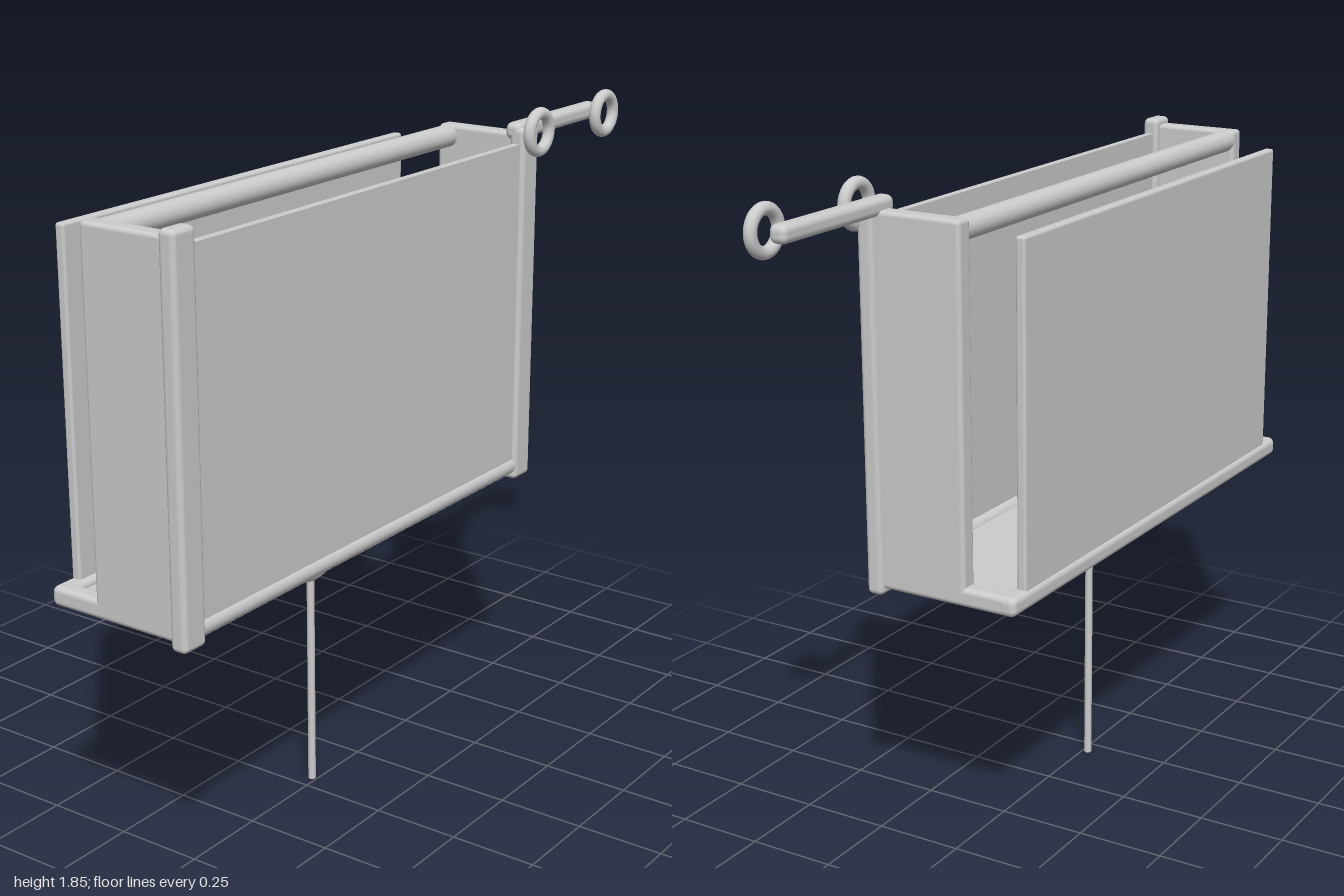
import * as THREE from 'three';
import { RoundedBoxGeometry } from 'three/addons/geometries/RoundedBoxGeometry.js';

export function createModel() {
  const group = new THREE.Group();
  const grey = new THREE.MeshStandardMaterial({ color: 0xcccccc });
  grey.name = 'light grey';

  function add(name, geometry, x = 0, y = 0, z = 0) {
    const mesh = new THREE.Mesh(geometry, grey);
    mesh.name = name;
    mesh.position.set(x, y, z);
    group.add(mesh);
    return mesh;
  }

  // Box given by its limits on each axis, with softened edges when r > 0
  function block(name, [x0, x1], [y0, y1], [z0, z1], r = 0) {
    const size = [x1 - x0, y1 - y0, z1 - z0];
    const geometry = r
      ? new RoundedBoxGeometry(...size, 3, r)
      : new THREE.BoxGeometry(...size);
    return add(name, geometry, (x0 + x1) / 2, (y0 + y1) / 2, (z0 + z1) / 2);
  }

  // Round bar lying along x
  function bar(name, x0, x1, y, z, r) {
    const geometry = new THREE.CylinderGeometry(r, r, x1 - x0, 24).rotateZ(Math.PI / 2);
    return add(name, geometry, (x0 + x1) / 2, y, z);
  }

  const middle = -0.203; // the case is off-centre because of the arm

  // Floor tray with rounded rails
  block('floor', [-0.97, 0.565], [0.762, 0.795], [-0.225, 0.19]);
  block('backRail', [-0.988, 0.583], [0.762, 0.815], [-0.243, -0.19], 0.018);
  bar('frontRail', -0.93, 0.525, 0.787, 0.178, 0.027);

  // Front and back panels
  block('frontPanel', [-0.95, 0.545], [0.78, 1.745], [0.172, 0.195]);
  block('backPanel', [-0.918, 0.512], [0.79, 1.735], [-0.235, -0.207], 0.008);

  // Mirrored ends: thick side walls, front posts and bottom rails
  for (const [side, s] of [['right', -1], ['left', 1]]) {
    const span = (near, far) =>
      [middle + s * near, middle + s * far].sort((a, b) => a - b);
    block(side + 'Wall', span(0.732, 0.785), [0.79, 1.772], [-0.092, 0.18], 0.012);
    block(side + 'FrontPost', span(0.713, 0.797), [0.745, 1.79], [0.158, 0.207], 0.015);
    block(side + 'BottomRail', span(0.732, 0.785), [0.762, 0.815], [-0.24, 0.18], 0.015);
  }

  // Bar across the top of the opening at the back
  bar('topBar', -0.95, 0.545, 1.74, -0.06, 0.032);

  // Arm with two rings at the upper left corner
  block('arm', [0.51, 0.963], [1.755, 1.803], [0.142, 0.192], 0.018);
  for (const x of [0.557, 0.927]) {
    add('armRing', new THREE.TorusGeometry(0.053, 0.017, 16, 40), x, 1.777, 0.228);
  }

  // Ring through the floor and the hanging rod
  add('hangingRing', new THREE.TorusGeometry(0.11, 0.034, 20, 56), middle, 0.76, -0.016);
  add('rod', new THREE.CylinderGeometry(0.011, 0.011, 0.91, 16), middle, 0.455, -0.016);

  return group;
}
